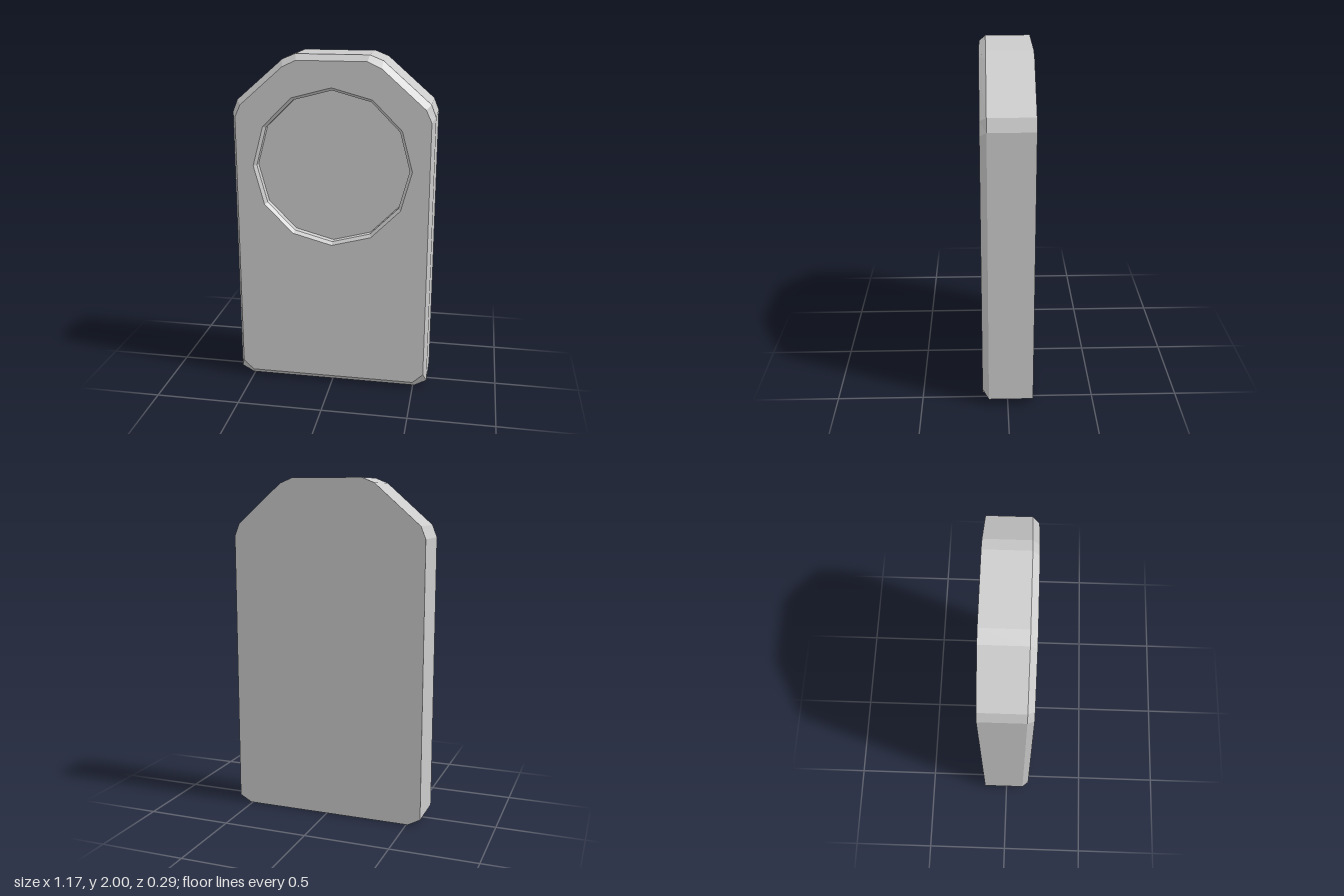
import * as THREE from 'three';

const material = new THREE.MeshStandardMaterial({ color: 0xcccccc, flatShading: true });
const BACK = -0.147, FRONT = 0.147;

// Mirror the right half of an outline (bottom to top) into a full counter-clockwise loop
const mirrored = (half) => [...half, ...half.map(([x, y]) => [-x, y]).reverse()];

const ring = (radius, cy, sides) => Array.from({ length: sides }, (_, i) => {
  const a = (i / sides) * Math.PI * 2;
  return [Math.cos(a) * radius, cy + Math.sin(a) * radius];
});

// Skin a series of [loop, z] sections with flat quads
function loft(sections) {
  const pos = [];
  for (let s = 0; s < sections.length - 1; s++) {
    const [a, za] = sections[s], [b, zb] = sections[s + 1];
    for (let i = 0; i < a.length; i++) {
      const j = (i + 1) % a.length;
      pos.push(...a[i], za, ...a[j], za, ...b[j], zb, ...a[i], za, ...b[j], zb, ...b[i], zb);
    }
  }
  const geo = new THREE.BufferGeometry();
  geo.setAttribute('position', new THREE.Float32BufferAttribute(pos, 3));
  geo.computeVertexNormals();
  return geo;
}

// Flat cap facing +z, optionally with a hole
function cap(loop, z, hole) {
  const toVectors = (l) => l.map(([x, y]) => new THREE.Vector2(x, y));
  const shape = new THREE.Shape(toVectors(loop));
  if (hole) shape.holes.push(new THREE.Path(toVectors(hole)));
  return new THREE.ShapeGeometry(shape).translate(0, 0, z);
}

export function createModel() {
  const group = new THREE.Group();
  group.name = 'tabletWithRoundRecess';
  const add = (name, geometry) => {
    const mesh = new THREE.Mesh(geometry, material);
    mesh.name = name;
    group.add(mesh);
  };

  const outer = mirrored([[0.51, 0], [0.583, 0.04], [0.583, 1.665], [0.555, 1.735], [0.285, 1.97], [0.21, 2]]);
  const inner = mirrored([[0.5, 0.037], [0.562, 0.095], [0.562, 1.64], [0.53, 1.71], [0.28, 1.93], [0.2, 1.967]]);
  const rim = ring(0.463, 1.357, 12);
  const well = ring(0.446, 1.357, 12);

  // Slab: straight sides, chamfered front edge, flat back
  add('sidesAndChamfer', loft([[outer, BACK], [outer, 0.11], [inner, FRONT]]));
  add('frontFace', cap(inner, FRONT, rim));
  add('backFace', cap(outer, -BACK).rotateY(Math.PI));

  // Shallow round recess with a chamfered rim
  add('recessWall', loft([[rim, FRONT], [well, FRONT - 0.02], [well, FRONT - 0.06]]));
  add('recessFloor', cap(well, FRONT - 0.06));
  return group;
}
